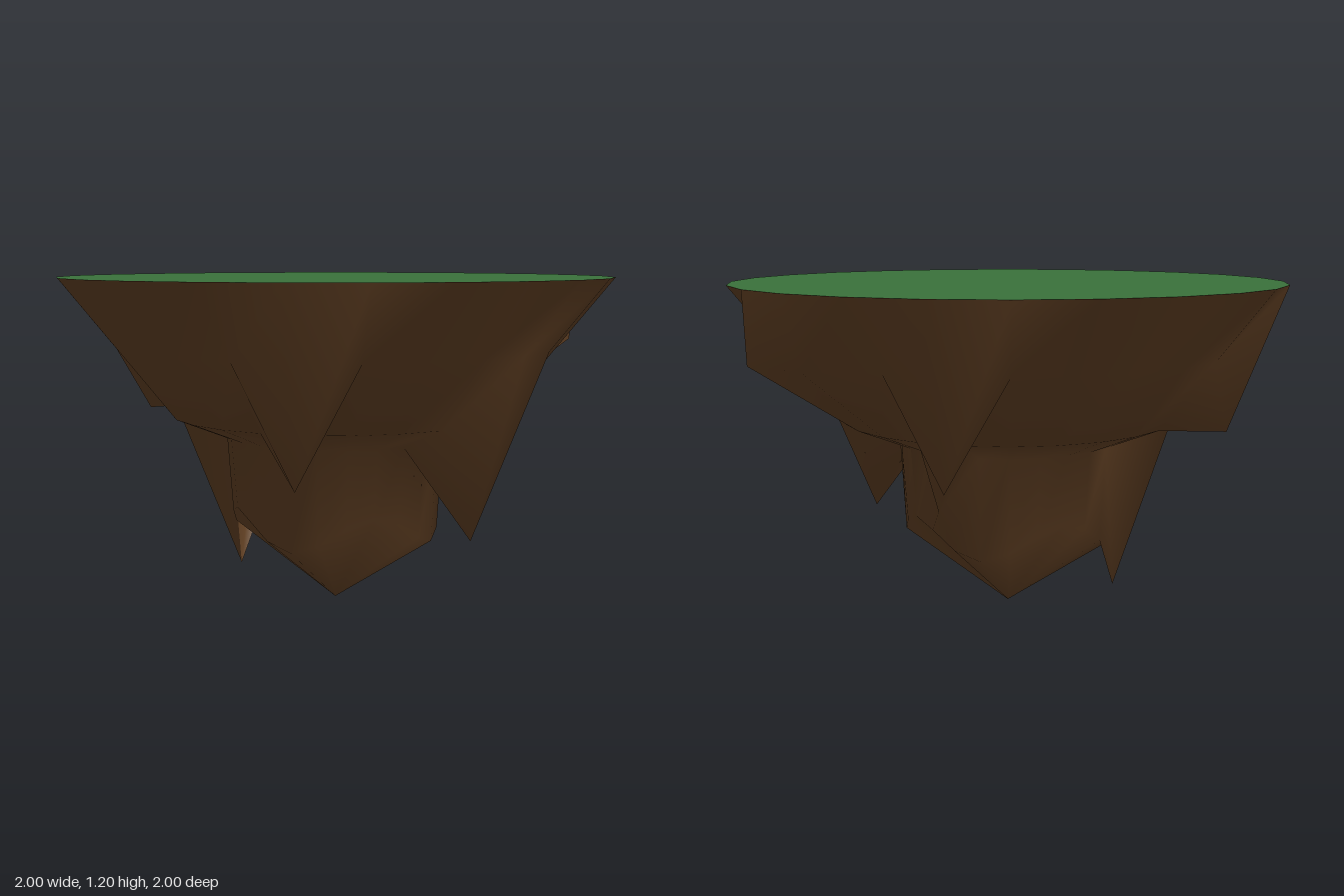
import * as THREE from 'three';

const SIDES = 24;
const DEG = Math.PI / 180;

// Underside rings from the rim to the tip: radius, height
const RINGS = [
  [1.0, 1.2],
  [0.8, 0.95],
  [0.6, 0.7],
  [0.4, 0.62],
  [0.38, 0.34],
  [0, 0],
];

// Hanging rock points and bulges: ring, angle in degrees, radius, height
const CRAGS = [
  [1, 120, 0.8, 0.55],
  [1, 225, 0.8, 0.68],
  [1, 315, 0.8, 0.58],
  [1, 345, 0.93, 0.95],
  [1, 360, 0.99, 0.95],
  [2, 60, 0.6, 0.3],
  [3, 225, 0.4, 0.09],
  [3, 330, 0.48, 0.44],
];

function ringPoint(ring, column) {
  const degrees = column * 360 / SIDES;
  let [radius, height] = RINGS[ring];
  // The lowest ring dips on the diagonals
  if (ring === 4) height = 0.31 + 0.06 * Math.cos(4 * degrees * DEG);
  const crag = CRAGS.find(c => c[0] === ring && c[1] === degrees);
  if (crag) [, , radius, height] = crag;
  return [radius * Math.cos(degrees * DEG), height, radius * Math.sin(degrees * DEG)];
}

// Smooth rocky underside with an open seam at angle 0
function undersideGeometry() {
  const positions = [];
  const index = [];
  const row = SIDES + 1;
  for (let i = 0; i < RINGS.length; i++) {
    for (let k = 0; k <= SIDES; k++) positions.push(...ringPoint(i, k));
  }
  for (let i = 0; i < RINGS.length - 1; i++) {
    for (let k = 0; k < SIDES; k++) {
      const a = i * row + k, b = a + 1, c = a + row, d = c + 1;
      index.push(a, b, d);
      if (i < RINGS.length - 2) index.push(a, d, c);
    }
  }
  const geometry = new THREE.BufferGeometry();
  geometry.setAttribute('position', new THREE.Float32BufferAttribute(positions, 3));
  geometry.setIndex(index);
  geometry.computeVertexNormals();
  return geometry;
}

export function createModel() {
  const grass = new THREE.MeshStandardMaterial({ color: 0x39713a });
  grass.name = 'grassGreen';
  const rock = new THREE.MeshStandardMaterial({ color: 0x5a3b20, side: THREE.DoubleSide });
  rock.name = 'earthBrown';

  const island = new THREE.Group();
  island.name = 'floatingIsland';

  // Flat grass top
  const top = new THREE.Mesh(new THREE.CircleGeometry(1, SIDES), grass);
  top.name = 'grassTop';
  top.rotation.x = -Math.PI / 2;
  top.position.y = 1.2;

  // Craggy earth below
  const underside = new THREE.Mesh(undersideGeometry(), rock);
  underside.name = 'rockyUnderside';

  island.add(top, underside);
  return island;
}
